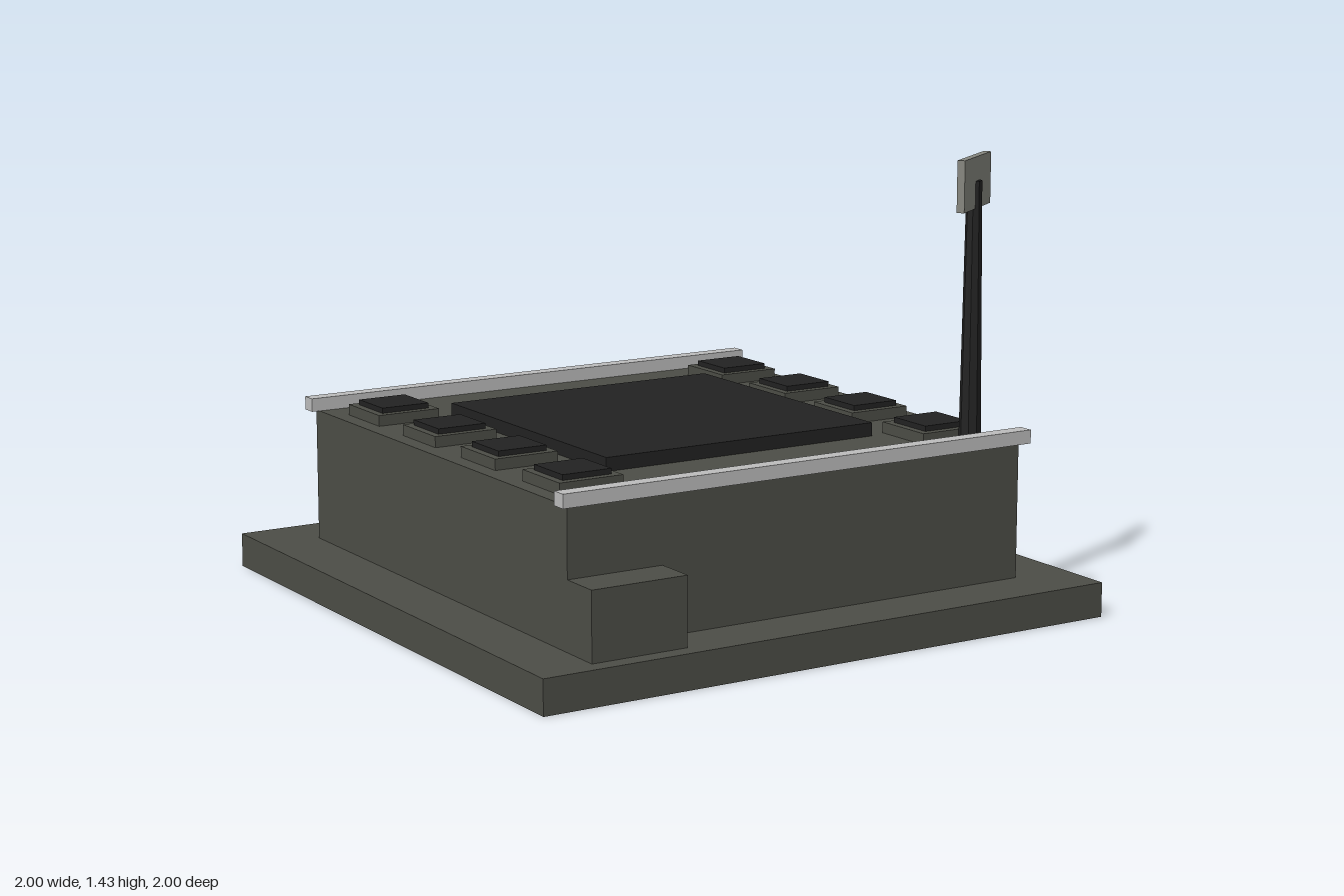
import * as THREE from 'three';

export function createModel() {
  const model = new THREE.Group();
  const paint = (name, color) => {
    const m = new THREE.MeshStandardMaterial({ color, flatShading: true });
    m.name = name;
    return m;
  };
  const concrete = paint('dark concrete', 0x4c4d46);
  const black = paint('black', 0x222222);
  const steel = paint('pale steel', 0xbcbcbc);
  const grey = paint('sign grey', 0x85867e);

  // Box given by centre x and z, bottom and top y, and footprint
  const box = (name, material, x, z, bottom, top, w, d, parent = model) => {
    const mesh = new THREE.Mesh(new THREE.BoxGeometry(w, top - bottom, d), material);
    mesh.position.set(x, (bottom + top) / 2, z);
    mesh.name = name;
    parent.add(mesh);
    return mesh;
  };

  // Stepped body
  box('base', concrete, 0, 0, 0, 0.11, 2, 2);
  box('body', concrete, 0, 0, 0.11, 0.54, 1.62, 1.62);
  box('frontStep', concrete, -0.65, 0.875, 0.11, 0.325, 0.32, 0.14);
  box('roofPanel', black, 0, 0, 0.54, 0.583, 0.97, 0.97);

  // Roof vents in two rows
  for (const x of [-0.65, 0.65]) {
    for (let i = 0; i < 4; i++) {
      const vent = new THREE.Group();
      vent.name = 'roofVent';
      vent.position.set(x, 0, -0.57 + i * 0.38);
      box('ventFrame', concrete, 0, 0, 0.54, 0.575, 0.215, 0.215, vent);
      box('ventCap', black, 0, 0, 0.575, 0.592, 0.165, 0.165, vent);
      model.add(vent);
    }
  }

  // Rails along the front and back edges
  for (const z of [-0.81, 0.81]) box('edgeRail', steel, 0, z, 0.54, 0.583, 1.675, 0.05);

  // Tapered mast carrying a turned plate
  const mast = new THREE.Mesh(new THREE.CylinderGeometry(0.024, 0.035, 0.815, 8), black);
  mast.position.set(0.7, 0.9475, 0.705);
  mast.name = 'mast';
  model.add(mast);
  const plate = box('mastPlate', grey, 0.7, 0.703, 1.27, 1.43, 0.265, 0.024);
  plate.rotation.y = THREE.MathUtils.degToRad(35);

  return model;
}
